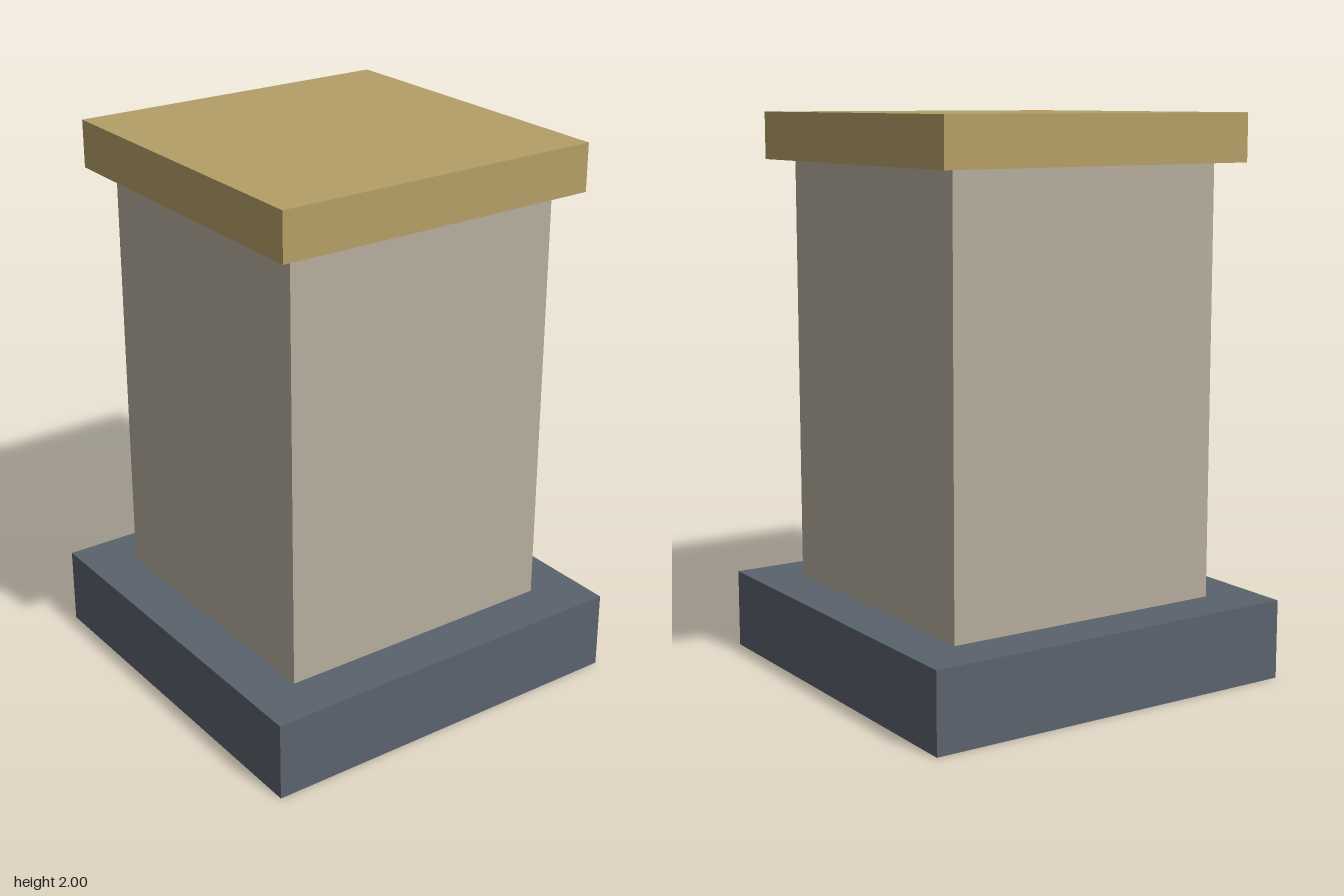
import * as THREE from 'three';

function material(name, color) {
  const m = new THREE.MeshStandardMaterial({ color });
  m.name = name;
  return m;
}

export function createModel() {
  const group = new THREE.Group();
  group.name = 'pedestal';

  // Square block spanning bottom to top, centred on the vertical axis
  const block = (name, width, bottom, top, mat) => {
    const mesh = new THREE.Mesh(new THREE.BoxGeometry(width, top - bottom, width), mat);
    mesh.name = name;
    mesh.position.y = (bottom + top) / 2;
    group.add(mesh);
  };

  block('base', 1.424, 0, 0.286, material('slate', 0x5a626d));
  block('shaft', 1.064, 0.286, 1.83, material('stone', 0xb5ad9d));
  block('cap', 1.223, 1.83, 2, material('ochre', 0xb49f67));

  return group;
}
